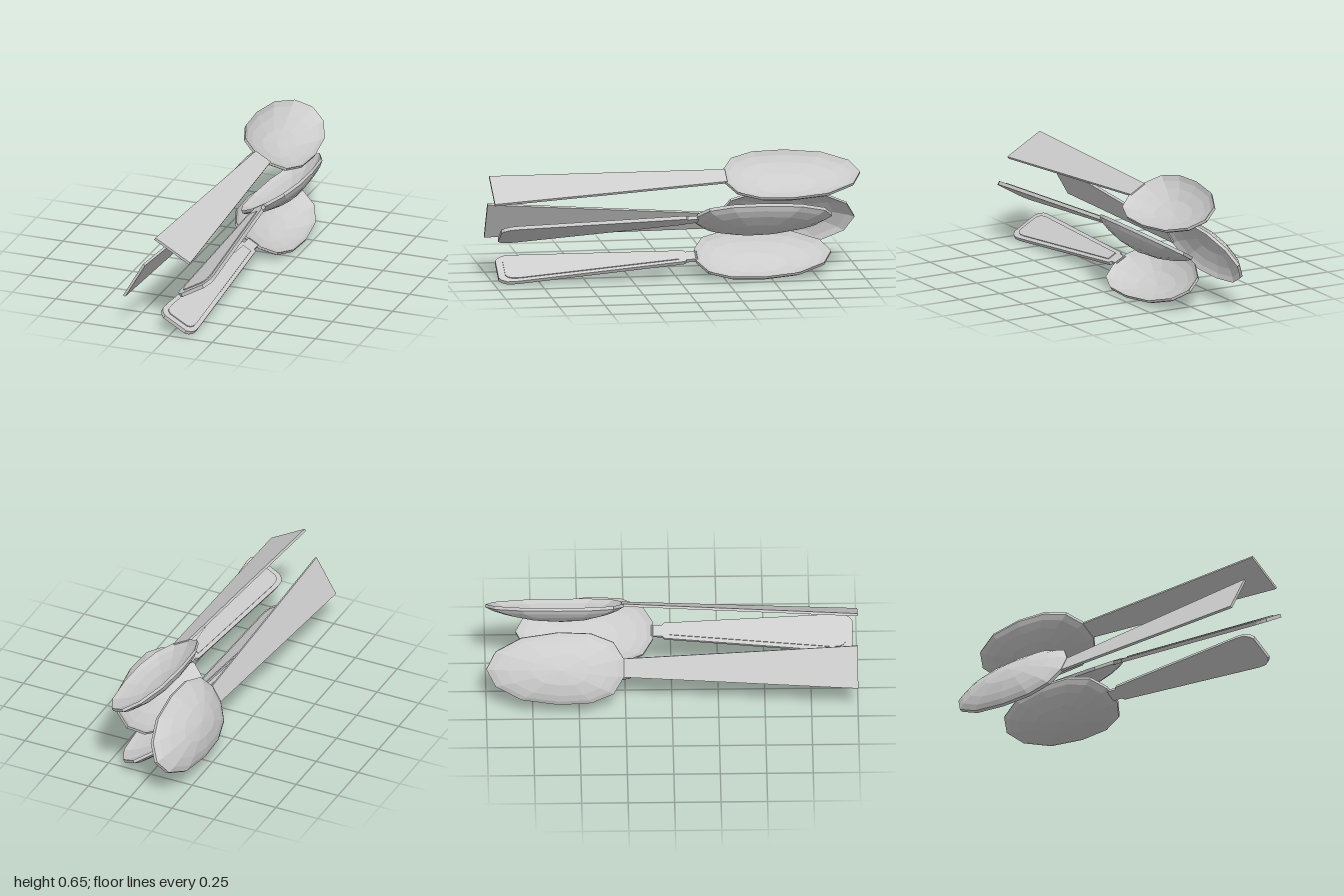
import * as THREE from 'three';

const metal = new THREE.MeshStandardMaterial({ color: 0xcccccc, flatShading: true });

// Half outline of the bowl, from tip to handle: [half width, z]
const half = [[0, -0.74], [0.095, -0.69], [0.168, -0.55], [0.196, -0.35],
  [0.188, -0.175], [0.14, -0.055], [0.05, 0]];
const outline = [...half, ...half.slice(1).reverse().map(([x, z]) => [-x, z])];

// Shell profile: [scale of the outline, height], inside centre over the rim to the underside
const under = [[1, -0.017], [0.9, -0.038], [0.73, -0.06], [0.42, -0.086], [0, -0.1]];
const profile = [...under.map(([s, y]) => [s, y + 0.017]).reverse(), ...under];
const deepest = -0.33;

function bowlGeometry() {
  const pos = [], index = [], n = outline.length;
  for (const [s, y] of profile)
    for (const [x, z] of outline) pos.push(x * s, y, deepest + (z - deepest) * s);
  for (let r = 0; r < profile.length - 1; r++)
    for (let i = 0; i < n; i++) {
      const j = (i + 1) % n, a = r * n, b = a + n;
      if (profile[r + 1][0] > 0) index.push(a + i, b + j, b + i);
      if (profile[r][0] > 0) index.push(a + i, a + j, b + j);
    }
  const g = new THREE.BufferGeometry();
  g.setAttribute('position', new THREE.Float32BufferAttribute(pos, 3));
  g.setIndex(index);
  g.computeVertexNormals();
  return g;
}

// Flat slab from a half outline [half width, z], sinking evenly towards its far end
function slab(side, thickness, top, slope) {
  const pts = [...side, ...side.slice().reverse().map(([x, z]) => [-x, z])];
  const shape = new THREE.Shape(pts.map(([x, z]) => new THREE.Vector2(x, -z)));
  const g = new THREE.ExtrudeGeometry(shape, { depth: thickness, bevelEnabled: false });
  g.rotateX(-Math.PI / 2);
  const p = g.attributes.position;
  for (let i = 0; i < p.count; i++)
    p.setY(i, p.getY(i) + top - thickness - slope * p.getZ(i));
  g.computeVertexNormals();
  return g;
}

function add(group, name, geometry) {
  const m = new THREE.Mesh(geometry, metal);
  m.name = name;
  group.add(m);
}

function makeSpoon(name, fancy) {
  const spoon = new THREE.Group();
  spoon.name = name;
  add(spoon, 'bowl', bowlGeometry());
  if (fancy) {
    // Handle with clipped corners, a narrow neck and a raised panel
    add(spoon, 'handle', slab([[0.032, -0.01], [0.032, 0.05], [0.045, 0.06], [0.108, 0.98],
      [0.106, 1.03], [0.09, 1.06], [0.07, 1.075]], 0.02, -0.003, 0.055));
    add(spoon, 'handlePanel', slab([[0.026, 0.09], [0.084, 0.96],
      [0.082, 1.0], [0.072, 1.025], [0.055, 1.037]], 0.008, 0.002, 0.055));
  } else {
    // Plain tapered handle
    add(spoon, 'handle', slab([[0.05, -0.01], [0.116, 1.26]], 0.014, 0, 0.044));
  }
  return spoon;
}

export function createModel() {
  const model = new THREE.Group();
  model.name = 'spoons';
  // [name, fancy, x, y, z of the bowl's neck, roll in degrees]
  const places = [
    ['topSpoon', false, 0.051, 0.558, -0.26, -30],
    ['sideSpoon', false, -0.146, 0.269, -0.26, -120],
    ['middleSpoon', true, 0.09, 0.342, -0.1, 30],
    ['bottomSpoon', true, 0.061, 0.13, -0.1, -30],
  ];
  for (const [name, fancy, x, y, z, roll] of places) {
    const s = makeSpoon(name, fancy);
    s.position.set(x, y, z);
    s.rotation.z = THREE.MathUtils.degToRad(roll);
    model.add(s);
  }
  return model;
}
